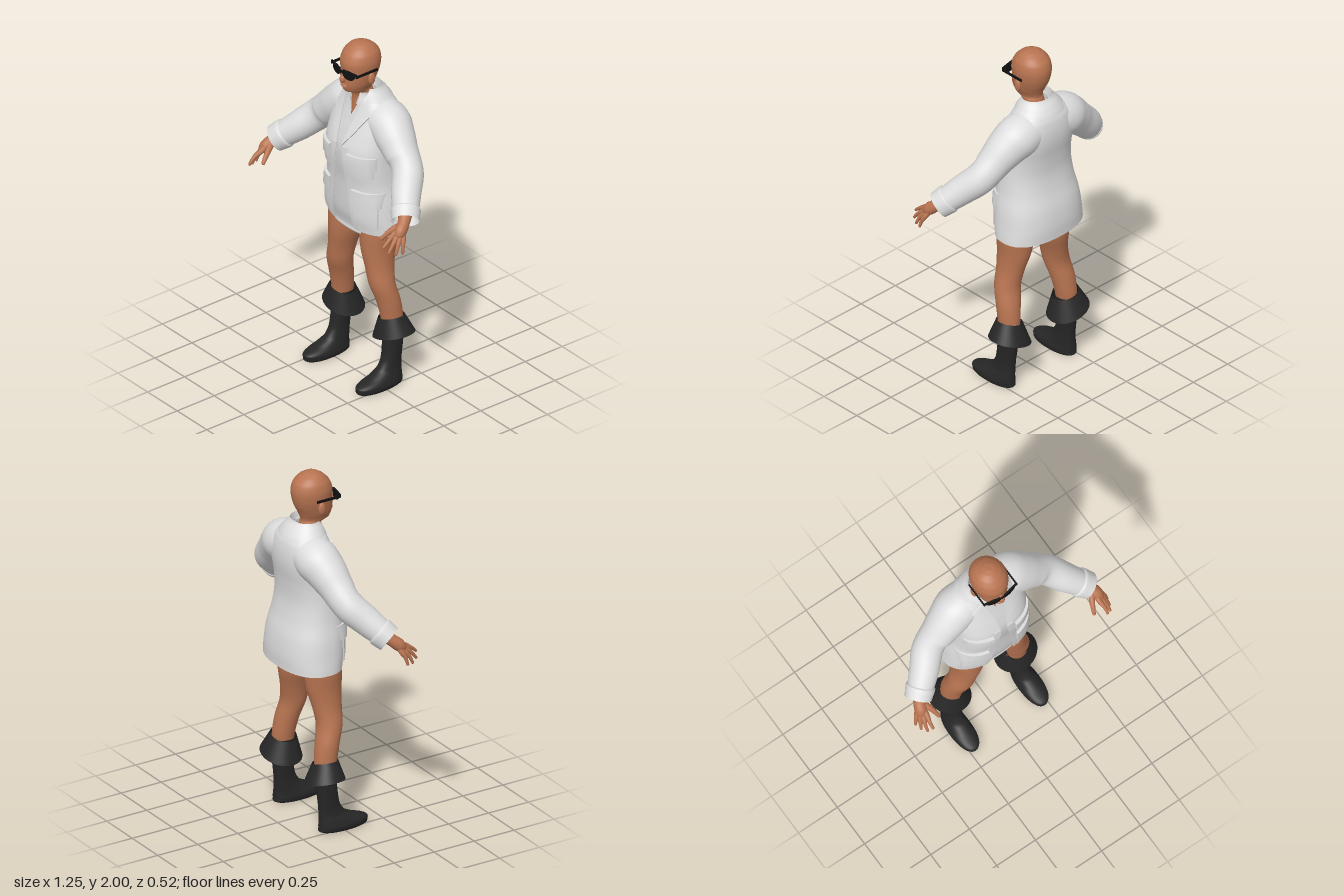
import * as THREE from 'three';
import { mergeVertices, toCreasedNormals } from 'three/addons/utils/BufferGeometryUtils.js';

const mat = (name, color, side = THREE.DoubleSide) => {
  const m = new THREE.MeshStandardMaterial({ color, side });
  m.name = name;
  return m;
};

// Surface from a rule fn(u, v) -> [x, y, z]
function grid(nu, nv, fn) {
  const pos = [], idx = [];
  for (let j = 0; j <= nv; j++) for (let i = 0; i <= nu; i++) pos.push(...fn(i / nu, j / nv));
  for (let j = 0; j < nv; j++) for (let i = 0; i < nu; i++) {
    const a = j * (nu + 1) + i, c = a + nu + 1;
    idx.push(a, a + 1, c + 1, a, c + 1, c);
  }
  let g = new THREE.BufferGeometry();
  g.setAttribute('position', new THREE.Float32BufferAttribute(pos, 3));
  g.setIndex(idx);
  g = mergeVertices(g, 1e-5);
  g.computeVertexNormals();
  return g;
}

// Smooth interpolation of ring parameters at a fractional index
function ringAt(rings, s) {
  const n = rings.length - 1, i = Math.min(Math.floor(s), n - 1), t = s - i;
  const a = rings[i], b = rings[i + 1], o = rings[Math.max(i - 1, 0)], e = rings[Math.min(i + 2, n)];
  return a.map((p, k) => {
    if (k === 0 || n === 1) return p + (b[k] - p) * t;
    const m0 = (b[k] - o[k]) / 2, m1 = (e[k] - p) / 2, t2 = t * t, t3 = t2 * t;
    return (2 * t3 - 3 * t2 + 1) * p + (t3 - 2 * t2 + t) * m0 + (3 * t2 - 2 * t3) * b[k] + (t3 - t2) * m1;
  });
}
const spow = (v, p) => Math.sign(v) * Math.abs(v) ** p;

// Stack of horizontal rings [y, centreX, halfWidth, frontZ, backZ, frontGap]
function loft(rings, p = 1, tilt = 0, sides = 40) {
  return grid(sides, (rings.length - 1) * 5, (u, v) => {
    const [y, cx, rx, zf, zb, gap = 0] = ringAt(rings, v * (rings.length - 1));
    const g = gap > 0 ? Math.asin(Math.min(1, (gap / rx) ** (1 / p))) : 0;
    const t = g + u * (2 * Math.PI - 2 * g);
    const dx = rx * spow(Math.sin(t), p);
    return [cx + dx, y + tilt * dx, (zf + zb) / 2 + (zf - zb) / 2 * spow(Math.cos(t), p)];
  });
}

// Round limb along a path of [x, y, z, radius]
function limb(pts, sides = 20, steps = 6) {
  const curve = new THREE.CatmullRomCurve3(pts.map(p => new THREE.Vector3(p[0], p[1], p[2])));
  const n = (pts.length - 1) * steps, f = curve.computeFrenetFrames(n);
  return grid(sides, n, (u, v) => {
    const k = Math.round(v * n), c = curve.getPoint(v), a = u * Math.PI * 2;
    const r = ringAt(pts.map(p => [0, p[3]]), v * (pts.length - 1))[1];
    return c.addScaledVector(f.normals[k], r * Math.cos(a)).addScaledVector(f.binormals[k], r * Math.sin(a)).toArray();
  });
}

const TORSO_P = 0.85;
const jacketRings = [
  [0.92, 0, 0.264, 0.07, -0.258, 0.085], [1.0, 0, 0.256, 0.088, -0.26, 0.075],
  [1.1, 0, 0.245, 0.092, -0.248, 0.058], [1.2, 0, 0.226, 0.094, -0.222, 0.042],
  [1.3, 0, 0.218, 0.106, -0.207, 0.03], [1.4, 0, 0.215, 0.106, -0.212, 0.02],
  [1.5, 0, 0.215, 0.072, -0.226, 0.028], [1.57, 0, 0.208, 0.042, -0.226, 0.045],
  [1.63, 0, 0.182, 0.02, -0.215, 0.058], [1.67, 0, 0.14, 0.01, -0.195, 0.064],
  [1.70, 0, 0.095, 0.005, -0.165, 0.068],
];

// Front surface of the jacket at x, y
function frontZ(x, y) {
  let i = 0;
  while (i < jacketRings.length - 2 && jacketRings[i + 1][0] < y) i++;
  const t = (y - jacketRings[i][0]) / (jacketRings[i + 1][0] - jacketRings[i][0]);
  const [, , rx, zf, zb] = ringAt(jacketRings, i + THREE.MathUtils.clamp(t, 0, 1));
  const s = Math.min(Math.abs(x) / rx, 0.985) ** (1 / TORSO_P);
  return (zf + zb) / 2 + (zf - zb) / 2 * Math.sqrt(1 - s * s) ** TORSO_P;
}

// Raised cloth piece following the jacket front; corners bl, br, tr, tl
function panel(c, off) {
  const n = 10, clampGrid = w => Math.min(Math.max((w * n - 1) / (n - 2), 0), 1);
  const g = grid(n, n, (u, v) => {
    const a = clampGrid(u), b = clampGrid(v);
    const mix = k => (c[0][k] * (1 - a) + c[1][k] * a) * (1 - b) + (c[3][k] * (1 - a) + c[2][k] * a) * b;
    const rim = u === 0 || u === 1 || v === 0 || v === 1;
    return [mix(0), mix(1), frontZ(mix(0), mix(1)) + (rim ? -0.004 : off)];
  });
  return toCreasedNormals(g, 0.7);
}

export function createModel() {
  const model = new THREE.Group();
  model.name = 'figure';
  const skin = mat('skin', 0xb87451), cloth = mat('jacketCloth', 0xdedede), linen = mat('shirtCloth', 0xd8d8d8);
  const leather = mat('bootLeather', 0x262626), black = mat('glassesBlack', 0x111111);
  const add = (parent, name, geo, m, pos = [0, 0, 0], scale = [1, 1, 1]) => {
    const mesh = new THREE.Mesh(geo, m);
    mesh.name = name;
    mesh.position.set(...pos);
    mesh.scale.set(...scale);
    parent.add(mesh);
    return mesh;
  };
  const ball = new THREE.SphereGeometry(1, 20, 14);

  // Head and neck
  add(model, 'head', loft([
    [1.5, 0, 0.09, 0.015, -0.14], [1.6, 0, 0.072, 0.01, -0.125], [1.68, 0, 0.06, 0, -0.115],
    [1.715, 0, 0.057, 0.015, -0.105], [1.732, 0, 0.06, 0.064, -0.102], [1.77, 0, 0.077, 0.077, -0.115],
    [1.81, 0, 0.088, 0.078, -0.135], [1.85, 0, 0.096, 0.074, -0.148], [1.9, 0, 0.1, 0.076, -0.153],
    [1.945, 0, 0.09, 0.057, -0.14], [1.975, 0, 0.067, 0.028, -0.11], [1.993, 0, 0.038, -0.002, -0.075],
    [2.0, 0, 0, -0.035, -0.035],
  ]), skin);
  add(model, 'nose', ball, skin, [0, 1.812, 0.08], [0.017, 0.024, 0.02]);
  add(model, 'noseBridge', ball, skin, [0, 1.835, 0.074], [0.011, 0.03, 0.014]);
  add(model, 'upperLip', ball, skin, [0, 1.777, 0.075], [0.027, 0.006, 0.011]);
  add(model, 'lowerLip', ball, skin, [0, 1.766, 0.074], [0.024, 0.007, 0.011]);

  // Sunglasses
  const glasses = new THREE.Group();
  glasses.name = 'sunglasses';
  model.add(glasses);
  add(glasses, 'bridge', new THREE.BoxGeometry(0.04, 0.012, 0.008), black, [0, 1.86, 0.09]);
  const lensGeo = new THREE.CylinderGeometry(1, 1, 1, 28).rotateX(Math.PI / 2);

  // Torso clothing
  add(model, 'jacketBody', loft(jacketRings, TORSO_P, 0, 64), cloth);
  add(model, 'shirt', loft([
    [0.9, 0, 0, -0.06, -0.06, 0], [0.888, 0, 0.19, 0.05, -0.18, 0],
    ...jacketRings.map(r => [r[0], 0, r[2] - 0.018, r[3] - 0.014, r[4] + 0.014, Math.max(0, r[0] - 1.58) * 0.42]),
  ], TORSO_P, 0, 64), linen);
  add(model, 'shirtCollar', loft([
    [1.64, 0, 0.068, 0.014, -0.125, 0.022], [1.715, 0, 0.07, 0.008, -0.125, 0.038], [1.65, 0, 0.088, 0.03, -0.14, 0.045],
  ]), linen);
  add(model, 'jacketCollarStand', loft([
    [1.66, 0, 0.085, 0.005, -0.15, 0.066], [1.738, 0, 0.09, -0.005, -0.152, 0.076],
  ]), cloth);
  add(model, 'jacketCollarFall', loft([
    [1.655, 0, 0.152, 0.022, -0.212, 0.085], [1.70, 0, 0.118, 0.012, -0.185, 0.08], [1.738, 0, 0.09, -0.005, -0.152, 0.076],
  ]), cloth);

  for (const side of [1, -1]) {
    const half = new THREE.Group();
    half.name = side > 0 ? 'leftSide' : 'rightSide';
    half.scale.x = side;
    model.add(half);

    add(half, 'ear', ball, skin, [0.098, 1.815, -0.035], [0.014, 0.036, 0.022]);
    const lens = add(half, 'lens', lensGeo, black, [0.05, 1.852, 0.081], [0.039, 0.026, 0.008]);
    lens.rotation.y = 0.2;
    const brow = add(half, 'browBar', new THREE.BoxGeometry(0.095, 0.012, 0.01), black, [0.06, 1.871, 0.081]);
    brow.rotation.y = 0.2;
    add(half, 'temple', new THREE.BoxGeometry(0.007, 0.013, 0.145), black, [0.104, 1.862, 0.004]);

    // Lapel, front band and pockets
    add(half, 'lapel', panel([[0.02, 1.42], [0.075, 1.5], [0.135, 1.61], [0.07, 1.675]], 0.01), cloth);
    add(half, 'frontBand', panel([[0.085, 0.93], [0.125, 0.93], [0.06, 1.42], [0.021, 1.42]], 0.005), cloth);
    for (const [top, mid, low, x0, x1] of [[1.395, 1.32, 1.265, 0.07, 0.205], [1.18, 1.095, 0.96, 0.09, 0.228]]) {
      add(half, 'pocket', panel([[x0 + 0.012, low], [x1 - 0.008, low], [x1 - 0.008, top - 0.02], [x0 + 0.012, top - 0.02]], 0.009), cloth);
      add(half, 'pocketFlap', panel([[x0, mid], [x1, mid - 0.005], [x1, top - 0.005], [x0, top]], 0.019), cloth);
    }

    // Sleeve and cuff
    add(half, 'sleeve', limb([
      [0.09, 1.565, -0.1, 0.115], [0.16, 1.55, -0.1, 0.12], [0.235, 1.5, -0.085, 0.108], [0.31, 1.435, -0.07, 0.092],
      [0.38, 1.37, -0.052, 0.086], [0.455, 1.29, 0.018, 0.08], [0.542, 1.207, 0.092, 0.068],
    ], 28), cloth);
    add(half, 'sleeveCuff', limb([
      [0.502, 1.245, 0.058, 0.07], [0.51, 1.237, 0.065, 0.08], [0.549, 1.2, 0.098, 0.074],
    ], 28), cloth);

    // Hand
    add(half, 'wrist', limb([
      [0.51, 1.237, 0.065, 0.04], [0.55, 1.195, 0.11, 0.033], [0.568, 1.16, 0.15, 0.034], [0.577, 1.138, 0.172, 0.02], [0.58, 1.132, 0.178, 0],
    ]), skin);
    const fingers = [
      [[0.556, 1.148, 0.188], [0.562, 1.098, 0.258]], [[0.574, 1.136, 0.182], [0.588, 1.07, 0.243]],
      [[0.586, 1.13, 0.168], [0.606, 1.056, 0.21]], [[0.592, 1.13, 0.148], [0.617, 1.058, 0.172]],
    ];
    for (const [k, t] of fingers) {
      add(half, 'finger', limb([
        [0.555, 1.185, 0.125, 0.014], [...k, 0.015].slice(0, 4),
        [(k[0] + t[0]) / 2 + 0.004, (k[1] + t[1]) / 2 + 0.003, (k[2] + t[2]) / 2 + 0.003, 0.0105],
        [...t, 0.007], [t[0], t[1] - 0.004, t[2] + 0.002, 0],
      ].map(p => p.flat()), 10, 4), skin);
    }
    add(half, 'thumb', limb([
      [0.545, 1.185, 0.125, 0.018], [0.516, 1.15, 0.18, 0.015], [0.498, 1.11, 0.222, 0.009], [0.496, 1.105, 0.227, 0],
    ], 10, 4), skin);

    // Leg
    add(half, 'leg', loft([
      [0.3, 0.213, 0.05, -0.03, -0.14], [0.4, 0.207, 0.058, -0.02, -0.145], [0.5, 0.197, 0.067, 0, -0.132],
      [0.6, 0.177, 0.072, 0.03, -0.112], [0.7, 0.155, 0.072, 0.04, -0.125], [0.8, 0.136, 0.086, 0.05, -0.148],
      [0.9, 0.13, 0.1, 0.05, -0.155], [0.97, 0.125, 0.1, 0.045, -0.16],
    ]), skin);

    // Boot with flared top
    add(half, 'boot', loft([
      [0.012, 0.222, 0, 0.01, 0.01], [0, 0.222, 0.052, 0.145, -0.12], [0.025, 0.223, 0.064, 0.162, -0.13],
      [0.045, 0.223, 0.062, 0.155, -0.13], [0.07, 0.222, 0.054, 0.085, -0.128], [0.1, 0.219, 0.046, 0.025, -0.128],
      [0.15, 0.218, 0.043, -0.008, -0.13], [0.23, 0.216, 0.047, -0.022, -0.138],
      [0.3, 0.213, 0.052, -0.026, -0.145], [0.38, 0.207, 0.06, -0.018, -0.148],
    ], 0.9), leather);
    add(half, 'bootFlare', loft([[0.288, 0.212, 0.118, 0.018, -0.205], [0.397, 0.203, 0.072, -0.014, -0.152]], 1, 0.27), leather);
    add(half, 'bootFlareLining', loft([[0.288, 0.212, 0.118, 0.018, -0.205], [0.33, 0.21, 0.054, -0.022, -0.147]], 1, 0.27), leather);
  }
  return model;
}
